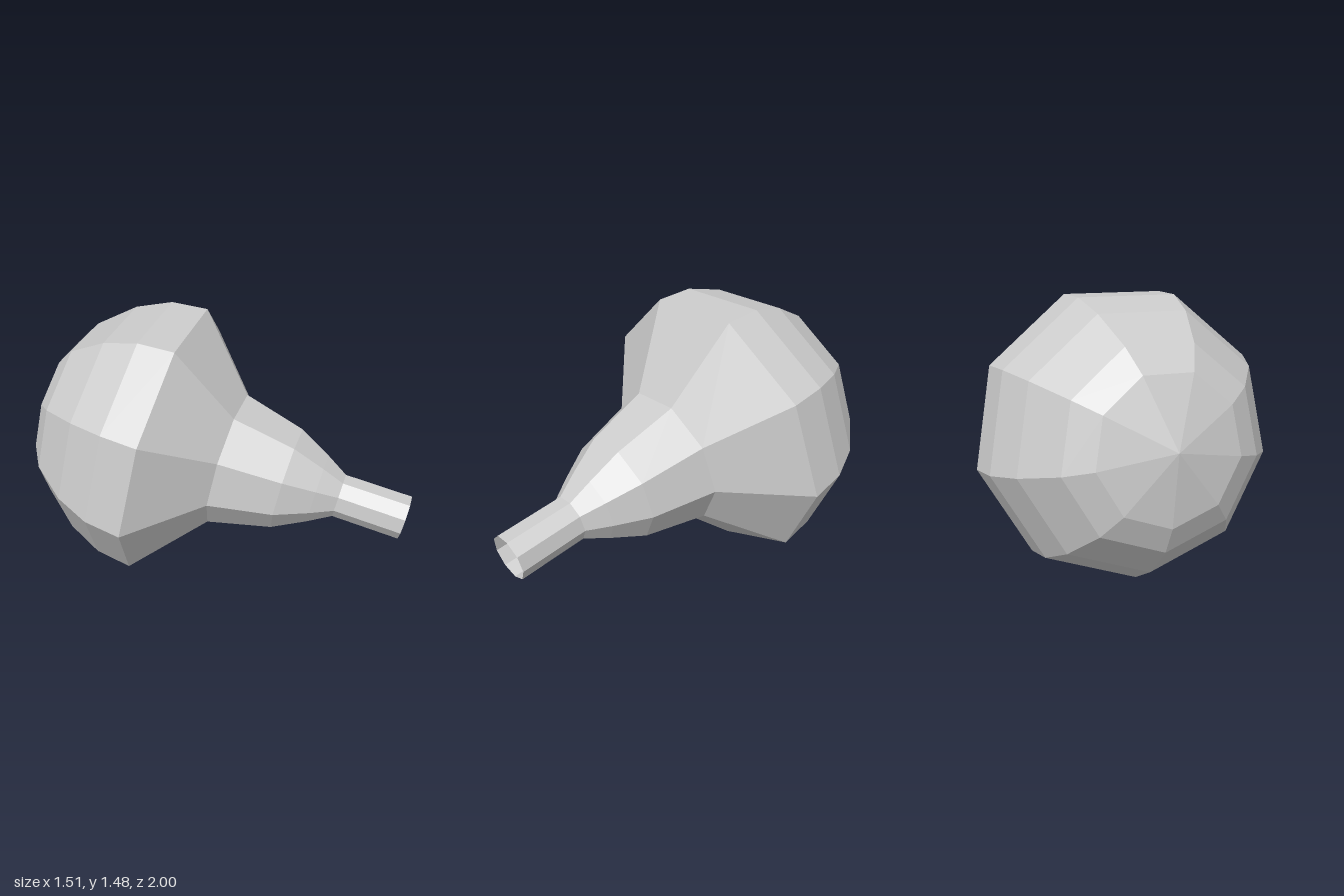
import * as THREE from 'three';

const SIDES = 9;
const material = new THREE.MeshStandardMaterial({
  color: 0xcccccc, flatShading: true, side: THREE.DoubleSide,
});

// Low-poly surface of revolution from [radius, height] pairs, bottom to top
function turned(name, profile) {
  const points = profile.map(([r, h]) => new THREE.Vector2(r, h));
  const mesh = new THREE.Mesh(new THREE.LatheGeometry(points, SIDES), material);
  mesh.name = name;
  return mesh;
}

export function createModel() {
  const model = new THREE.Group();
  model.name = 'bulb';

  // Rounded nine-sided dome behind the widest rim
  const dome = turned('dome', [
    [0, -0.765], [0.37, -0.672], [0.505, -0.585], [0.66, -0.39], [0.743, -0.2], [0.763, 0],
  ]);

  // Shoulder narrowing into a slim neck, open at the end
  const neck = turned('neck', [
    [0.763, 0], [0.378, 0.341], [0.29, 0.686], [0.195, 0.863], [0.122, 0.985], [0.123, 1.355],
  ]);

  // The whole body lies tilted: neck forward, down and to the left
  const body = new THREE.Group();
  body.name = 'body';
  body.add(dome, neck);
  const axis = new THREE.Vector3(0.472, -0.176, 0.864).normalize();
  const corner = new THREE.Vector3(-0.047, -0.985, -0.163); // lowest rim corner
  const side = new THREE.Vector3().crossVectors(axis, corner).normalize();
  corner.crossVectors(side, axis);
  body.quaternion.setFromRotationMatrix(new THREE.Matrix4().makeBasis(side, axis, corner));
  body.position.set(0.003, 0.752, -0.236);

  model.add(body);
  return model;
}
